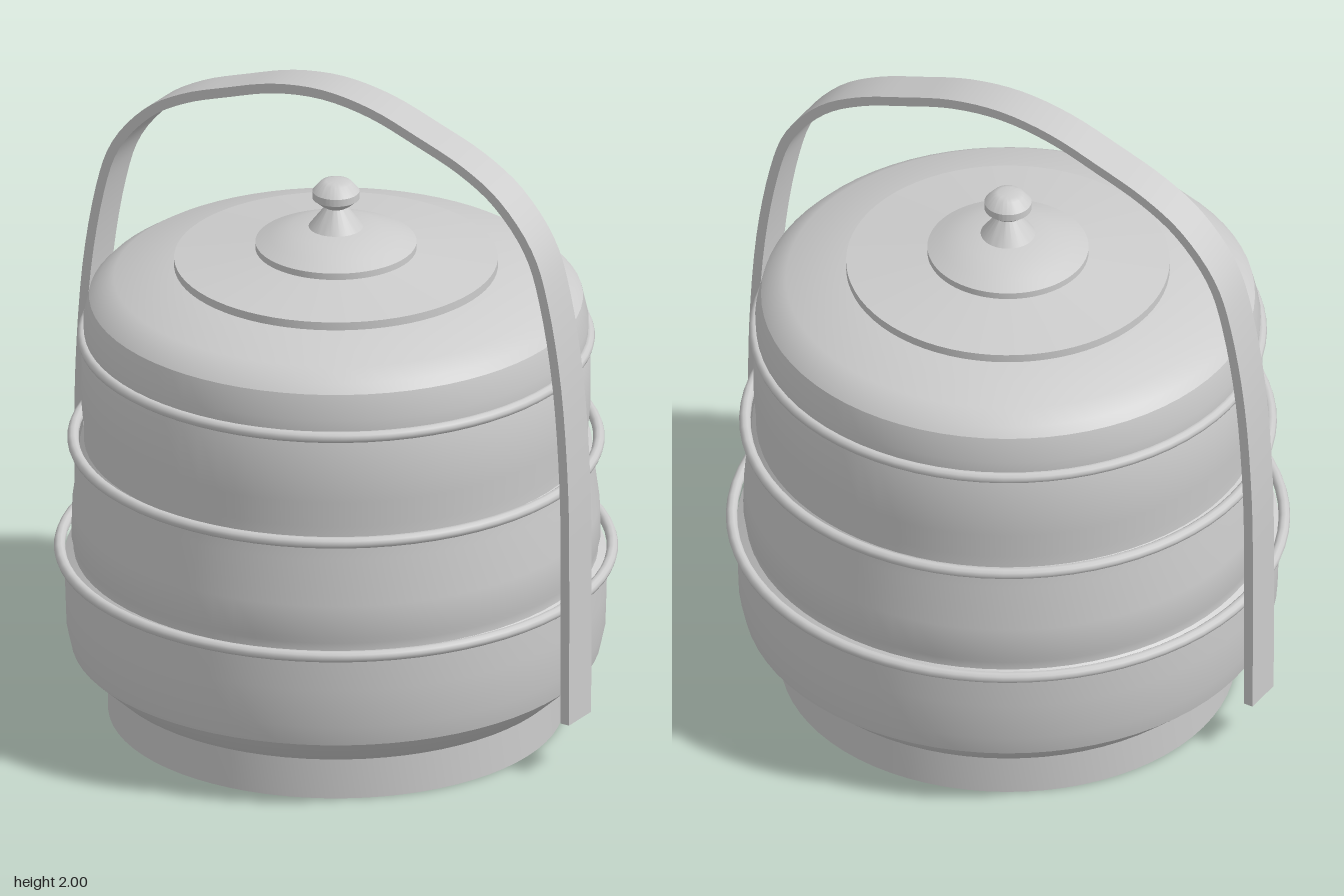
import * as THREE from 'three';
import { toCreasedNormals } from 'three/addons/utils/BufferGeometryUtils.js';

export function createModel() {
  const model = new THREE.Group();
  model.name = 'stackedFoodCarrier';
  const metal = new THREE.MeshStandardMaterial({ color: 0xcccccc });
  metal.name = 'grey metal';

  const add = (name, geometry) => {
    const mesh = new THREE.Mesh(geometry, metal);
    mesh.name = name;
    model.add(mesh);
    return mesh;
  };
  // Turned part from [radius, height] pairs, bottom to top
  const turned = (name, profile, crease = 0.45) => add(name, toCreasedNormals(
    new THREE.LatheGeometry(profile.map(([r, y]) => new THREE.Vector2(r, y)), 72), crease));

  // Foot and stacked bowls; each profile starts where the one below ends
  turned('foot', [[0, 0], [0.667, 0], [0.667, 0.125]]);
  turned('bottomBowl', [[0.667, 0.125], [0.68, 0.13], [0.775, 0.217], [0.789, 0.28],
    [0.793, 0.4], [0.793, 0.495], [0.768, 0.515]]);
  turned('middleBowl', [[0.768, 0.515], [0.768, 0.54], [0.775, 0.56], [0.772, 0.66],
    [0.753, 0.8], [0.75, 0.845], [0.738, 0.862]]);
  turned('topBowl', [[0.738, 0.862], [0.738, 0.9], [0.745, 0.98], [0.745, 1.17], [0.737, 1.19]]);

  // Stepped lid
  turned('lid', [[0.737, 1.19], [0.74, 1.24], [0.723, 1.315], [0.7, 1.34], [0.65, 1.373],
    [0.474, 1.412], [0.474, 1.437], [0.236, 1.468], [0.236, 1.488], [0.195, 1.507],
    [0.135, 1.53], [0.08, 1.537]]);
  turned('lidKnob', [[0.08, 1.537], [0.032, 1.6], [0.045, 1.608], [0.069, 1.628],
    [0.069, 1.65], [0.045, 1.677], [0.03, 1.682], [0, 1.682]], 0.7);

  // Rolled rims around the joints
  [['lowerRing', 0.809, 0.516], ['middleRing', 0.77, 0.863], ['upperRing', 0.741, 1.188]]
    .forEach(([name, radius, y]) => {
      const ring = add(name, new THREE.TorusGeometry(radius, 0.017, 10, 72));
      ring.rotation.x = Math.PI / 2;
      ring.position.y = y;
    });

  // Flat bail handle: one side of the outer edge, mirrored, then offset inwards
  const side = [[0.86, 0.172], [0.861, 0.6], [0.857, 0.92], [0.833, 1.24], [0.787, 1.5],
    [0.73, 1.66], [0.62, 1.79], [0.49, 1.87], [0.335, 1.928], [0.17, 1.98]];
  const path = [...side, [0, 2], ...side.map(([x, y]) => [-x, y]).reverse()];
  const curve = new THREE.SplineCurve(path.map(([x, y]) => new THREE.Vector2(x, y)));
  const outer = [], inner = [];
  for (let i = 0; i <= 80; i++) {
    const p = curve.getPoint(i / 80), t = curve.getTangent(i / 80);
    outer.push(p);
    inner.push(new THREE.Vector2(p.x - t.y * 0.03, p.y + t.x * 0.03));
  }
  inner[0].y = inner[80].y = 0.172;
  const strip = new THREE.ExtrudeGeometry(new THREE.Shape([...outer, ...inner.reverse()]),
    { depth: 0.12, bevelEnabled: false });
  strip.translate(0, 0, -0.043);
  add('handle', toCreasedNormals(strip, 0.6));

  return model;
}
